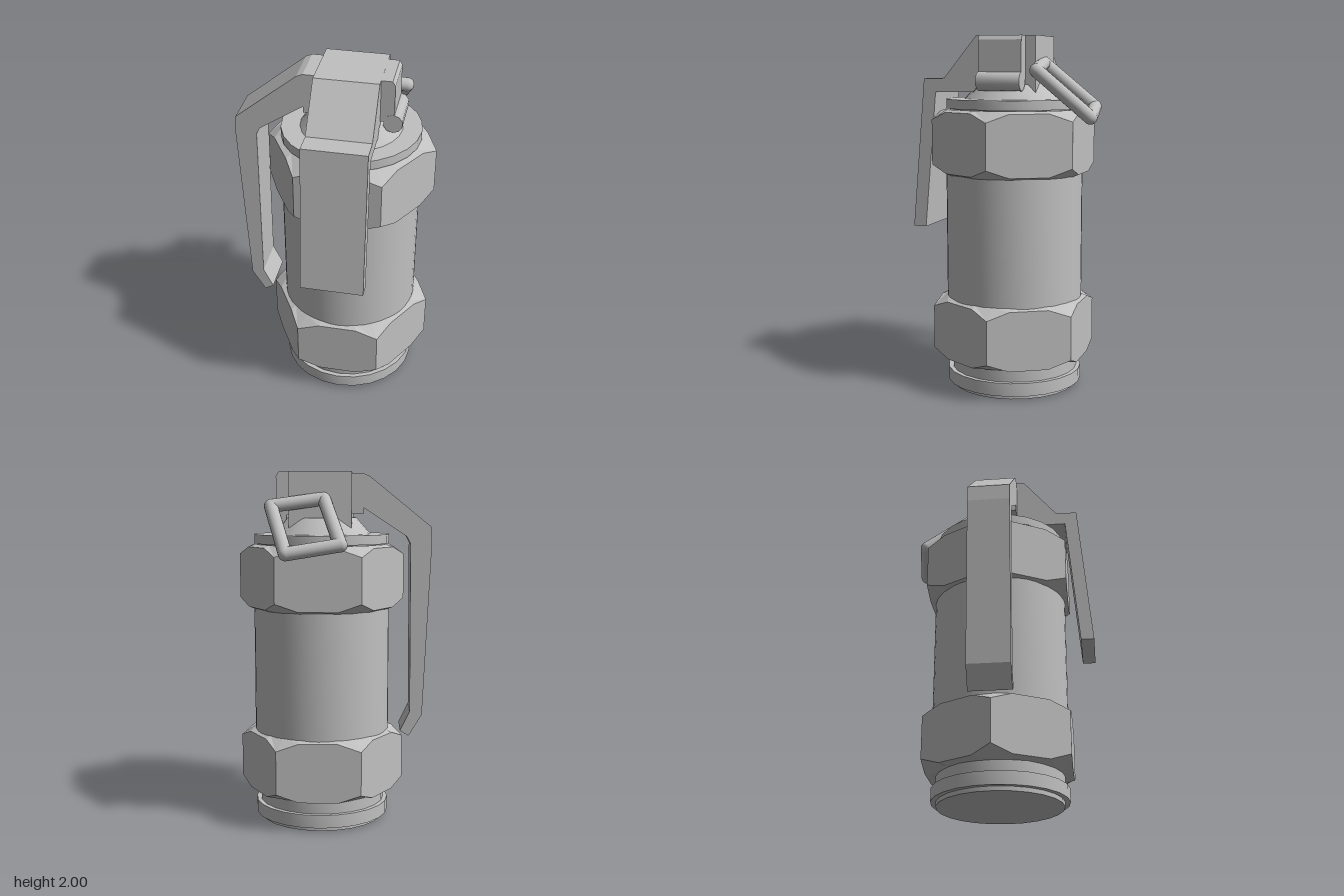
import * as THREE from 'three';
import { toCreasedNormals } from 'three/addons/utils/BufferGeometryUtils.js';

const AXIS_X = 0.076, AXIS_Z = -0.015;   // axis of the canister
const metal = new THREE.MeshStandardMaterial({ color: 0xc0c0c0 });
metal.name = 'grey metal';

export function createModel() {
  const group = new THREE.Group();
  const add = (name, geometry) => {
    const mesh = new THREE.Mesh(geometry, metal);
    mesh.name = name;
    group.add(mesh);
    return mesh;
  };

  // Turned parts, profile given as [radius, y] from the bottom up
  const turned = (name, profile, sides = 24) => {
    const g = new THREE.LatheGeometry(profile.map(([r, y]) => new THREE.Vector2(r, y)), sides);
    add(name, toCreasedNormals(g, 0.5)).position.set(AXIS_X, 0, AXIS_Z);
  };
  turned('baseCap', [[0, 0], [0.357, 0], [0.357, 0.025], [0.387, 0.025], [0.387, 0.1],
    [0.362, 0.1], [0.362, 0.2], [0, 0.2]]);
  turned('body', [[0, 0.45], [0.389, 0.45], [0.389, 1.3], [0, 1.3]], 48);
  turned('topCollar', [[0, 1.55], [0.37, 1.55], [0.37, 1.6], [0.387, 1.6], [0.387, 1.652],
    [0.282, 1.652], [0.2, 1.745], [0, 1.745]]);

  // Hexagonal nut with conical chamfers, wider at the corners
  const nut = (name, y0, y1, rBottom, rTop) => {
    const apothem = 0.409, columns = [];
    for (let k = 0; k < 6; k++) {
      for (const offset of [0, 15, 45]) {
        const a = THREE.MathUtils.degToRad(60 * k + offset);
        const r = apothem / Math.cos(THREE.MathUtils.degToRad(offset - 30));
        const drop = offset === 0 ? 0.057 : 0.013;
        columns.push([[0, y0], [rBottom, y0], [r, y0 + drop], [r, y1 - drop], [rTop, y1], [0, y1]]
          .map(([rad, y]) => [rad * Math.cos(a), y, rad * Math.sin(a)]));
      }
    }
    const pos = [];
    columns.forEach((c, i) => {
      const n = columns[(i + 1) % columns.length];
      for (let j = 0; j < 5; j++) {
        if (j < 4) pos.push(...c[j], ...c[j + 1], ...n[j + 1]);
        if (j > 0) pos.push(...c[j], ...n[j + 1], ...n[j]);
        if (j === 4) pos.splice(pos.length - 9, 9, ...c[4], ...c[5], ...n[4]);
      }
    });
    const g = new THREE.BufferGeometry();
    g.setAttribute('position', new THREE.Float32BufferAttribute(pos, 3));
    g.computeVertexNormals();
    add(name, g).position.set(AXIS_X, 0, AXIS_Z);
  };
  nut('lowerNut', 0.165, 0.526, 0.362, 0.389);
  nut('upperNut', 1.229, 1.595, 0.389, 0.387);

  // Flat outlines pushed to a thickness
  const extrude = (outline, depth) => new THREE.ExtrudeGeometry(
    new THREE.Shape(outline.map(([a, b]) => new THREE.Vector2(a, b))),
    { depth, bevelEnabled: false });

  // Head block with the front lever, outline in z and y
  const head = extrude([[-0.195, 2], [-0.195, 1.69], [-0.15, 1.735], [0.13, 1.735], [0.17, 1.69],
    [0.395, 1.69], [0.465, 0.918], [0.54, 0.918], [0.465, 1.765], [0.345, 1.765], [0.15, 2]], 0.35);
  head.rotateY(-Math.PI / 2).translate(0.25, 0, 0);
  add('headAndFrontLever', head);

  // Side lever, outline in x and y
  add('sideLever', extrude([[-0.09, 1.99], [-0.165, 1.99], [-0.2, 1.975], [-0.545, 1.695],
    [-0.55, 1.6], [-0.505, 0.62], [-0.43, 0.495], [-0.38, 0.525], [-0.435, 0.64], [-0.43, 1.6],
    [-0.41, 1.64], [-0.165, 1.8], [-0.165, 1.765], [-0.09, 1.765]], 0.24)).position.z = -0.135;

  // Hinge plate and its rolled lower edge
  add('hingePlate', extrude([[0.24, 1.999], [0.24, 1.76], [0.3, 1.76], [0.325, 1.78],
    [0.325, 1.975], [0.31, 1.999]], 0.247)).position.z = -0.138;
  const roll = new THREE.CylinderGeometry(0.053, 0.053, 0.25, 10).rotateX(Math.PI / 2);
  add('hingeRoll', toCreasedNormals(roll, 0.8)).position.set(0.318, 1.752, -0.0145);

  // Square pull ring with round corners
  const corners = [[-0.045, 1.605, -0.455], [0.245, 1.56, -0.503], [0.345, 1.81, -0.23],
    [0.055, 1.85, -0.182]].map(p => new THREE.Vector3(...p));
  const tubeR = 0.038, up = new THREE.Vector3(0, 1, 0);
  corners.forEach((a, i) => {
    const b = corners[(i + 1) % 4], dir = b.clone().sub(a);
    const bar = add('pullRingBar', new THREE.CylinderGeometry(tubeR, tubeR, dir.length(), 16, 1, true));
    bar.position.copy(a).add(b).multiplyScalar(0.5);
    bar.quaternion.setFromUnitVectors(up, dir.normalize());
    add('pullRingCorner', new THREE.SphereGeometry(tubeR, 16, 10)).position.copy(a);
  });
  return group;
}
